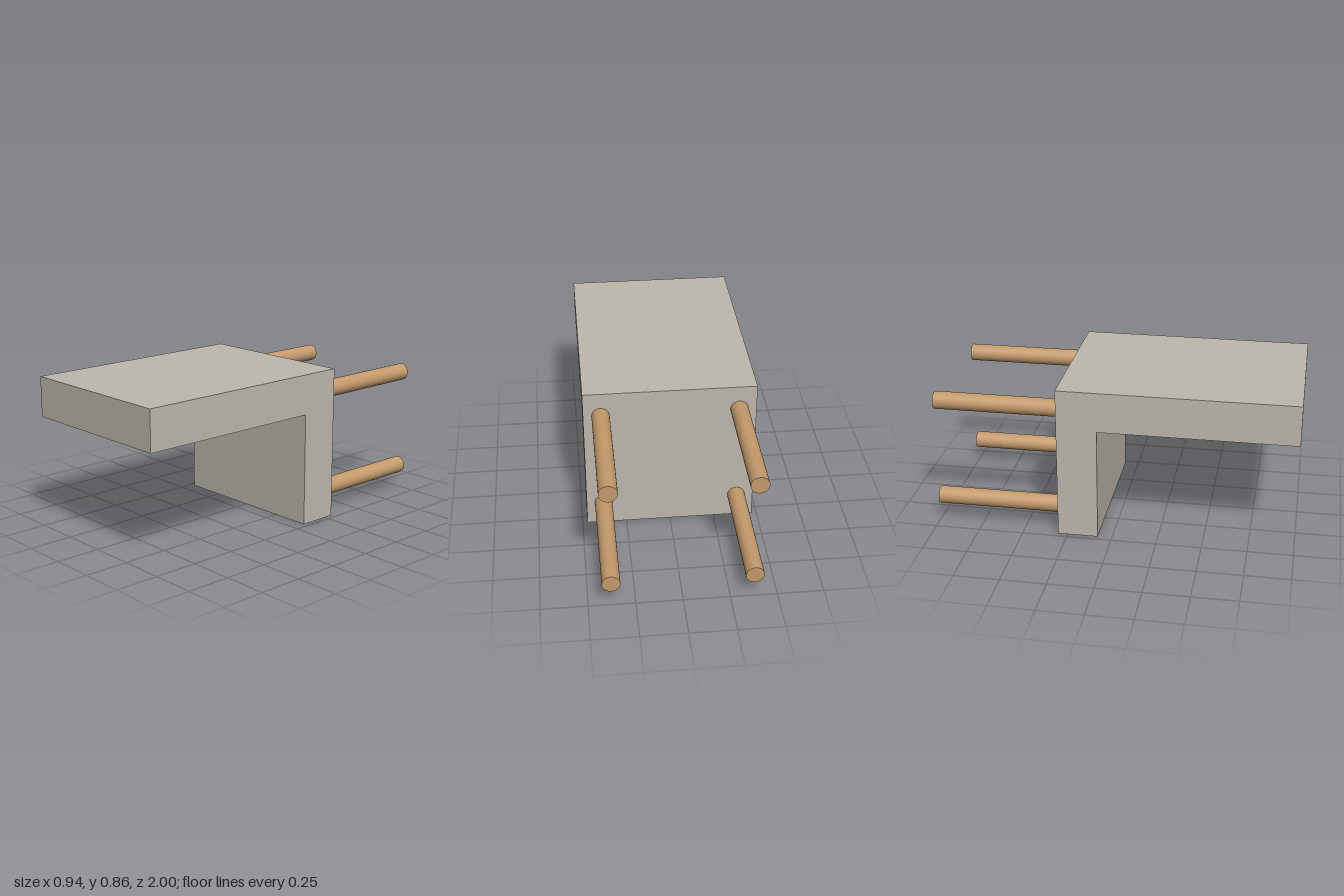
import * as THREE from 'three';

const WIDTH = 0.944, HEIGHT = 0.86, BACK = -0.303, FRONT = 1;
const SLAB_BOTTOM = 0.635, LEG_FRONT = -0.08;
const ROD_RADIUS = 0.049, ROD_END = -1, EMBED = 0.02;

export function createModel() {
  const model = new THREE.Group();
  model.name = 'bracketWithDowels';

  const stone = new THREE.MeshStandardMaterial({ color: 0xbdb8ad });
  const wood = new THREE.MeshStandardMaterial({ color: 0xc49a6c });

  // L-shaped bracket: side profile drawn with shape x = -z, extruded across the width
  const profile = new THREE.Shape([
    [-FRONT, SLAB_BOTTOM], [-LEG_FRONT, SLAB_BOTTOM], [-LEG_FRONT, 0],
    [-BACK, 0], [-BACK, HEIGHT], [-FRONT, HEIGHT],
  ].map(([x, y]) => new THREE.Vector2(x, y)));
  const bracketGeometry = new THREE.ExtrudeGeometry(profile, { depth: WIDTH, bevelEnabled: false });
  bracketGeometry.translate(0, 0, -WIDTH / 2).rotateY(Math.PI / 2);
  const bracket = new THREE.Mesh(bracketGeometry, stone);
  bracket.name = 'bracket';
  model.add(bracket);

  // Four round dowels set into the back face
  const length = BACK + EMBED - ROD_END;
  const rodGeometry = new THREE.CylinderGeometry(ROD_RADIUS, ROD_RADIUS, length, 32);
  rodGeometry.rotateX(Math.PI / 2);
  for (const [row, y] of [['upper', 0.722], ['lower', 0.14]]) {
    for (const [side, x] of [['Left', 0.377], ['Right', -0.377]]) {
      const rod = new THREE.Mesh(rodGeometry, wood);
      rod.name = `${row}${side}Dowel`;
      rod.position.set(x, y, ROD_END + length / 2);
      model.add(rod);
    }
  }

  return model;
}
